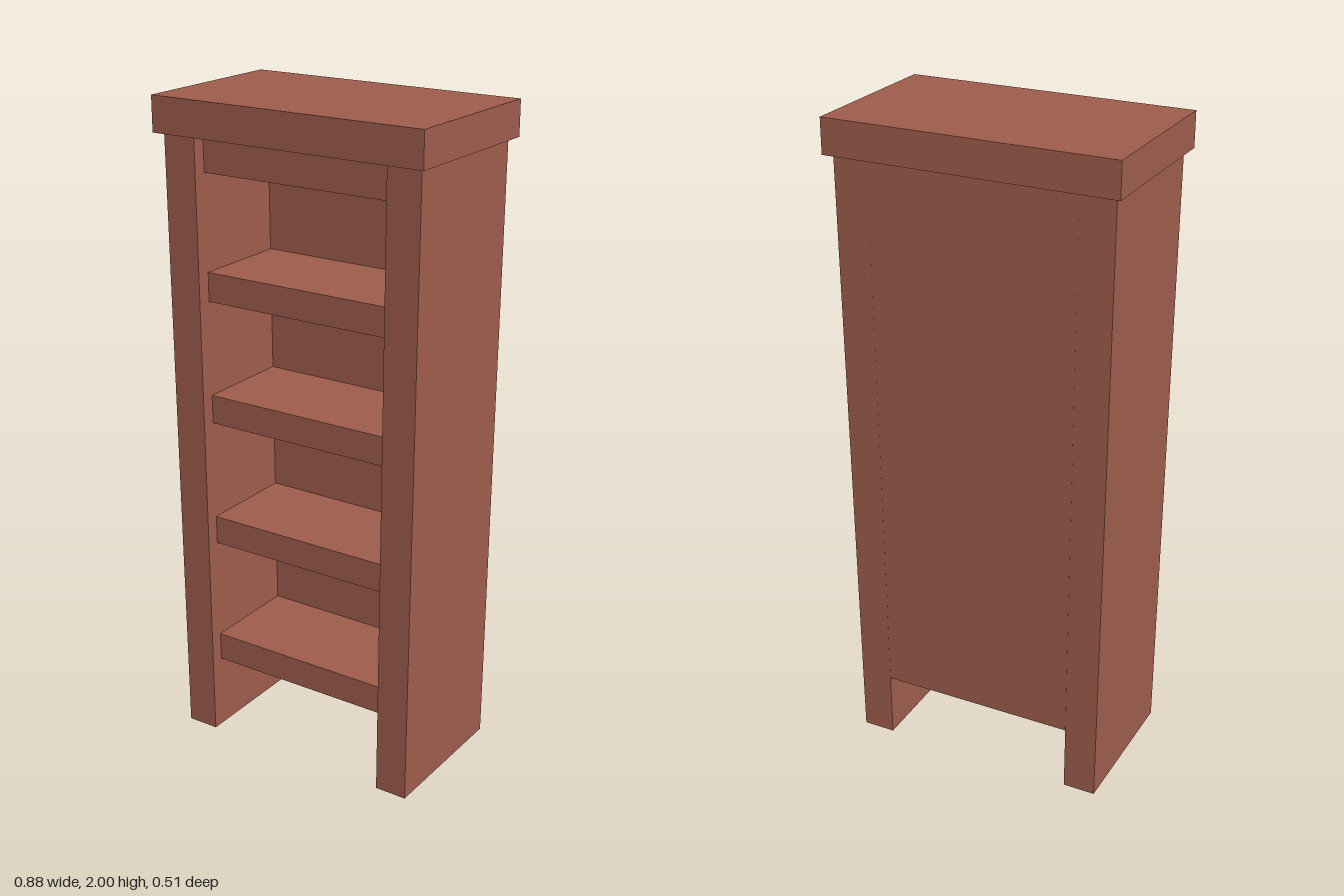
import * as THREE from 'three';

export function createModel() {
  const group = new THREE.Group();
  group.name = 'bookcase';
  const wood = new THREE.MeshStandardMaterial({ color: 0xa05e4d });
  wood.name = 'reddish brown wood';

  function add(name, geometry) {
    const mesh = new THREE.Mesh(geometry, wood);
    mesh.name = name;
    group.add(mesh);
  }

  // Box given by its limits on each axis
  function box(name, x0, x1, y0, y1, z0, z1) {
    const g = new THREE.BoxGeometry(x1 - x0, y1 - y0, z1 - z0);
    g.translate((x0 + x1) / 2, (y0 + y1) / 2, (z0 + z1) / 2);
    add(name, g);
  }

  // Front outline (counter-clockwise points) extruded from z0 to z1
  function slab(name, points, z0, z1) {
    const shape = new THREE.Shape(points.map(([x, y]) => new THREE.Vector2(x, y)));
    const g = new THREE.ExtrudeGeometry(shape, { depth: z1 - z0, bevelEnabled: false });
    g.translate(0, 0, z0);
    add(name, g);
  }

  const top = 1.895, front = 0.231, back = -0.231, panelFront = -0.118, shelfFront = 0.19;

  // Top board, overhanging all round
  box('topBoard', -0.44, 0.44, top, 2, -0.257, 0.257);

  // Side boards, widening slightly towards the top
  slab('leftSide', [[0.303, 0], [0.403, 0], [0.42, top], [0.315, top]], back, front);
  slab('rightSide', [[-0.403, 0], [-0.303, 0], [-0.315, top], [-0.42, top]], back, front);

  // Back panel, flush with the rear of the sides
  slab('backPanel', [[-0.304, 0.205], [0.304, 0.205], [0.315, top], [-0.315, top]], back, panelFront);

  // Rail under the top board
  box('topRail', -0.315, 0.315, 1.785, top, panelFront, shelfFront);

  // Shelves, set back from the front edges
  for (const y of [0.232, 0.636, 1.03, 1.407]) {
    box('shelf', -0.311, 0.311, y, y + 0.088, panelFront, shelfFront);
  }

  return group;
}
